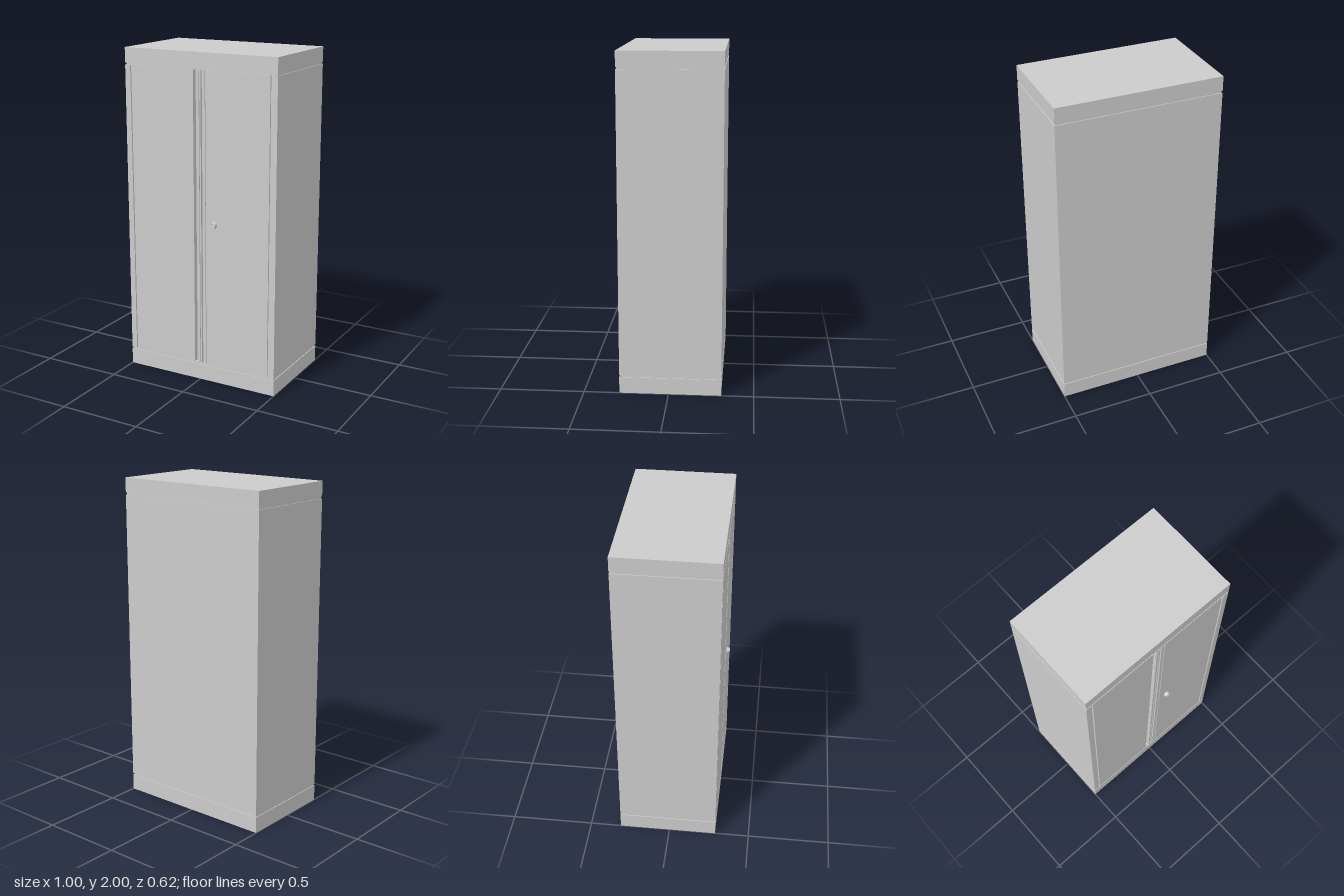
import * as THREE from 'three';

const FRONT = 0.29, BACK = -0.31, DEPTH = FRONT - BACK, MID = (FRONT + BACK) / 2;

export function createModel() {
  const cabinet = new THREE.Group();
  cabinet.name = 'cabinet';
  const material = new THREE.MeshStandardMaterial({ color: 0xcccccc });

  const add = (name, geometry, x, y, z) => {
    const mesh = new THREE.Mesh(geometry, material);
    mesh.name = name;
    mesh.position.set(x, y, z);
    cabinet.add(mesh);
    return mesh;
  };
  // Box given by its extents on each axis
  const block = (name, x0, x1, y0, y1, z0, z1) =>
    add(name, new THREE.BoxGeometry(x1 - x0, y1 - y0, z1 - z0),
      (x0 + x1) / 2, (y0 + y1) / 2, (z0 + z1) / 2);

  // Plinth and top, separated from the body by thin shadow gaps
  block('plinth', -0.5, 0.5, 0, 0.098, BACK, FRONT);
  block('top', -0.5, 0.5, 1.91, 2, BACK, FRONT);
  for (const [name, y] of [['lowerGap', 0.104], ['upperGap', 1.904]]) {
    add(name, new THREE.BoxGeometry(0.99, 0.012, DEPTH - 0.01), 0, y, MID);
  }

  // Body: a plan outline with notches in the front, extruded upwards.
  // Each notch is [left x, right x, depth].
  const notches = [
    [-0.465, -0.455, 0.01],  // joint beside one door
    [-0.037, -0.012, 0.03],  // finger recess
    [0, 0.004, 0.01],        // joint between the doors
    [0.012, 0.021, 0.03],    // finger recess
    [0.04, 0.044, 0.006],    // door edge line
    [0.455, 0.465, 0.01],    // joint beside the other door
  ];
  const plan = new THREE.Shape();
  plan.moveTo(-0.5, -FRONT);
  for (const [x0, x1, d] of notches) {
    plan.lineTo(x0, -FRONT);
    plan.lineTo(x0, -FRONT + d);
    plan.lineTo(x1, -FRONT + d);
    plan.lineTo(x1, -FRONT);
  }
  plan.lineTo(0.5, -FRONT);
  plan.lineTo(0.5, -BACK);
  plan.lineTo(-0.5, -BACK);
  plan.closePath();
  const body = new THREE.ExtrudeGeometry(plan, { depth: 1.788, bevelEnabled: false });
  body.rotateX(-Math.PI / 2);
  add('bodyWithDoors', body, 0, 0.11, 0);

  // Round lock knob, tapering outwards, with a shallow dished face
  const profile = [[0.02, 0], [0.0155, 0.02], [0.012, 0.02], [0.011, 0.018], [0, 0.018]]
    .map(([r, y]) => new THREE.Vector2(r, y));
  const knob = new THREE.LatheGeometry(profile, 24).toNonIndexed();
  knob.computeVertexNormals();
  knob.rotateX(Math.PI / 2);
  add('lockKnob', knob, 0.1, 1, FRONT);

  return cabinet;
}
